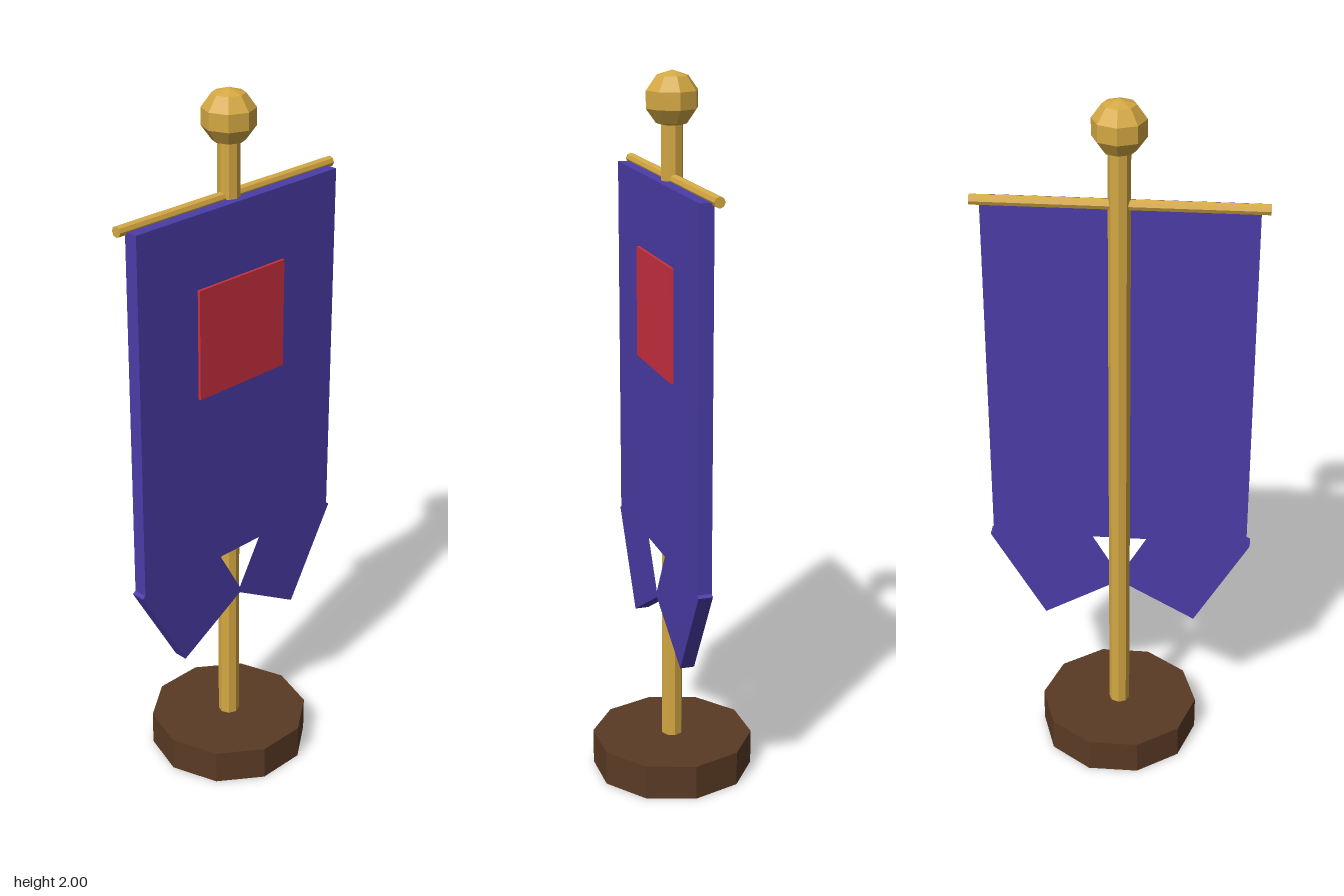
import * as THREE from 'three';

function material(name, color) {
  const m = new THREE.MeshStandardMaterial({ color, flatShading: true });
  m.name = name;
  return m;
}

export function createModel() {
  const group = new THREE.Group();
  const wood = material('dark wood', 0x5a3a24);
  const gold = material('gold', 0xd4a843);
  const cloth = material('purple cloth', 0x4a3ca8);
  const red = material('red', 0xcc3040);

  function add(name, geometry, mat, x = 0, y = 0, z = 0) {
    const mesh = new THREE.Mesh(geometry, mat);
    mesh.name = name;
    mesh.position.set(x, y, z);
    group.add(mesh);
    return mesh;
  }

  // Stand: ten-sided base, pole and faceted ball
  add('base', new THREE.CylinderGeometry(0.23, 0.23, 0.1, 10), wood, 0, 0.05, 0);
  add('pole', new THREE.CylinderGeometry(0.03, 0.03, 1.8, 8), gold, 0, 1.0, 0);
  add('finial', new THREE.SphereGeometry(0.075, 8, 5), gold, 0, 1.925, 0);

  // Crossbar running front to back
  const bar = add('crossbar', new THREE.CylinderGeometry(0.015, 0.015, 0.775, 8), gold, 0, 1.717, 0);
  bar.rotation.x = Math.PI / 2;

  // Banner outline with two slanted tails, mirrored about the centre
  const half = [[0.363, 1.713], [0.363, 0.678], [0.373, 0.672], [0.2175, 0.403]];
  const mirrored = half.map(([u, y]) => [-u, y]).reverse();
  const outline = [...half, [0, 0.528], ...mirrored];
  const shape = new THREE.Shape(outline.map(([u, y]) => new THREE.Vector2(u, y)));

  // Triangular gap between the tails
  const gap = [[-0.077, 0.68], [0.077, 0.68], [0, 0.546]];
  shape.holes.push(new THREE.Path(gap.map(([u, y]) => new THREE.Vector2(u, y))));

  const banner = new THREE.ExtrudeGeometry(shape, { depth: 0.04, bevelEnabled: false });
  banner.rotateY(Math.PI / 2);
  add('banner', banner, cloth, 0.005, 0, 0);

  // Square patch on the outer face of the banner
  add('emblem', new THREE.BoxGeometry(0.009, 0.31, 0.314), red, 0.0485, 1.355, 0);

  return group;
}
